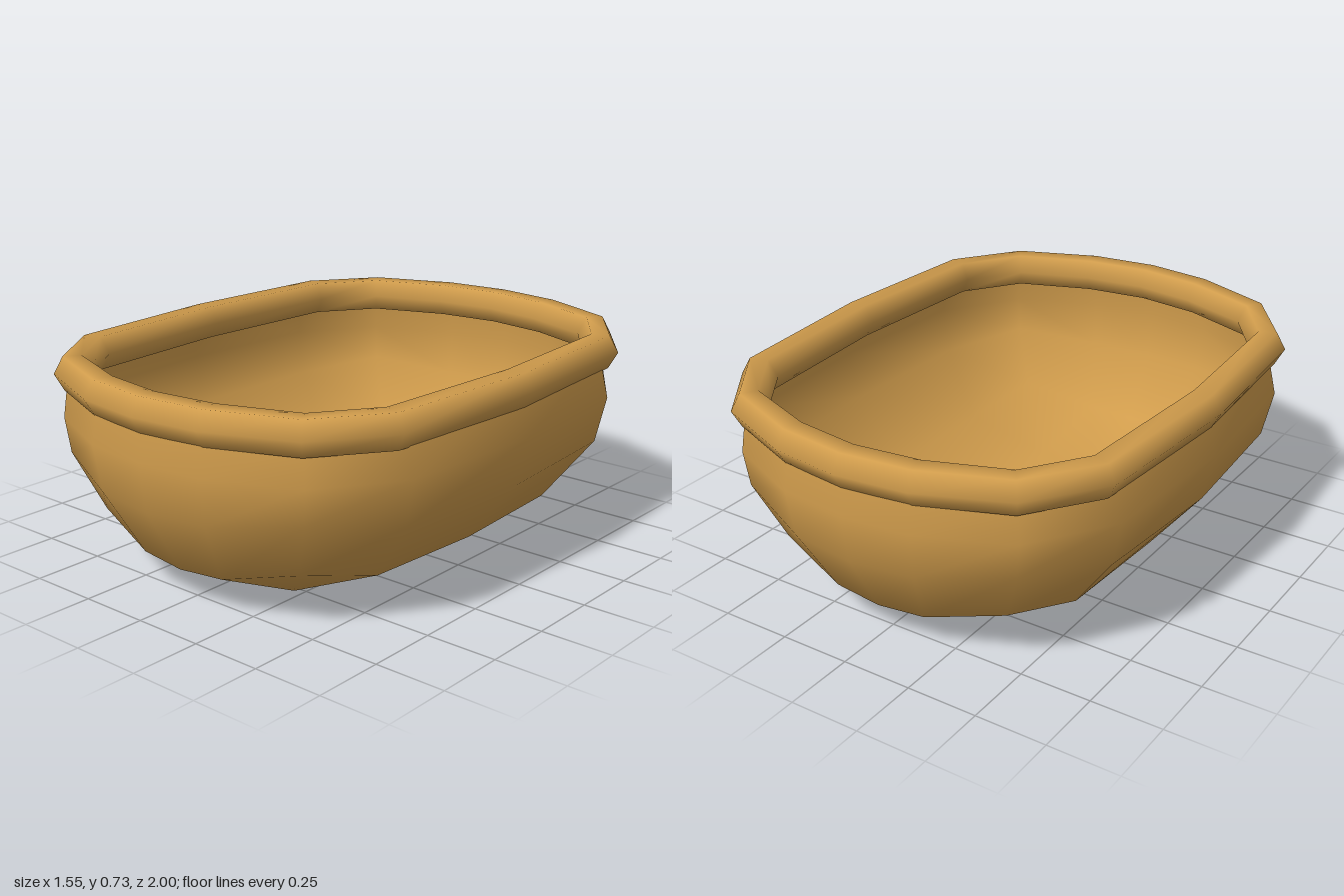
import * as THREE from 'three';
import { mergeVertices } from 'three/addons/utils/BufferGeometryUtils.js';

// Mirrors a quarter outline (from the +z tip to the +x side) into a full loop
function fullLoop(quarter) {
  const half = [...quarter, ...quarter.slice(0, -1).reverse().map(([x, z]) => [x, -z])];
  return [...half, ...half.slice(1, -1).reverse().map(([x, z]) => [-x, z])];
}

// Drop or rise from the widest level for a direction of steepness t, flattening at the base
function heightOffset(t) {
  const curve = [[0, 0], [0.316, 0.17], [0.707, 0.4], [0.88, 0.503], [1, 0.515]];
  const steep = Math.min(Math.abs(t), 1);
  const k = Math.max(1, curve.findIndex(([u]) => steep <= u));
  const [u0, v0] = curve[k - 1];
  const [u1, v1] = curve[k];
  return Math.sign(t) * (v0 + (v1 - v0) * (steep - u0) / (u1 - u0));
}

// Bowl: a rounded-out cube grid, open at the top, with its ends pushed out along z
function bowlGeometry() {
  const box = new THREE.BoxGeometry(2, 2, 2, 4, 4, 4);
  box.deleteAttribute('uv');
  box.deleteAttribute('normal');
  box.clearGroups();
  const geometry = mergeVertices(box);
  const position = geometry.attributes.position;

  // Keep only the faces below the rim
  const faces = Array.from(geometry.index.array);
  const kept = [];
  for (let i = 0; i < faces.length; i += 3) {
    const face = faces.slice(i, i + 3);
    if (face.every((v) => position.getY(v) < 0.6)) kept.push(...face);
  }
  geometry.setIndex(kept);

  const p = new THREE.Vector3();
  const ease = (c) => (Math.abs(c) < 0.9 ? c / 1.5 : c);
  for (let i = 0; i < position.count; i++) {
    p.fromBufferAttribute(position, i);
    p.set(ease(p.x), ease(p.y), ease(p.z)).normalize();
    position.setXYZ(i,
      p.x * 0.765,
      0.515 + heightOffset(p.y),
      Math.sign(p.z) * Math.sqrt(Math.abs(p.z)) * 0.978);
  }
  geometry.computeVertexNormals();
  return geometry;
}

// Rim: six-sided section swept between an outer and an inner outline
function rimGeometry() {
  const outer = fullLoop([[0, 1], [0.25, 0.97], [0.55, 0.847], [0.73, 0.6], [0.775, 0]]);
  const inner = fullLoop([[0, 0.865], [0.222, 0.836], [0.477, 0.744], [0.607, 0.557], [0.64, 0]]);
  const n = outer.length;
  const sides = 6;
  const points = [];
  const index = [];
  for (let i = 0; i < sides; i++) {
    const t = (i / sides) * Math.PI * 2;
    const mix = 0.5 + 0.5 * Math.cos(t);
    const y = 0.668 + 0.0675 * Math.sin(t);
    for (let j = 0; j < n; j++) {
      const [ix, iz] = inner[j];
      const [ox, oz] = outer[j];
      points.push(ix + (ox - ix) * mix, y, iz + (oz - iz) * mix);
      const next = (j + 1) % n;
      const row = i * n;
      const above = ((i + 1) % sides) * n;
      index.push(row + j, row + next, above + next, row + j, above + next, above + j);
    }
  }
  const geometry = new THREE.BufferGeometry();
  geometry.setAttribute('position', new THREE.Float32BufferAttribute(points, 3));
  geometry.setIndex(index);
  geometry.computeVertexNormals();
  return geometry;
}

export function createModel() {
  const model = new THREE.Group();
  model.name = 'oblongBowl';
  const wood = new THREE.MeshStandardMaterial({ color: 0xd09c4c, side: THREE.DoubleSide });
  wood.name = 'warm wood';

  const bowl = new THREE.Mesh(bowlGeometry(), wood);
  bowl.name = 'bowl';
  const rim = new THREE.Mesh(rimGeometry(), wood);
  rim.name = 'rim';
  model.add(bowl, rim);

  return model;
}
